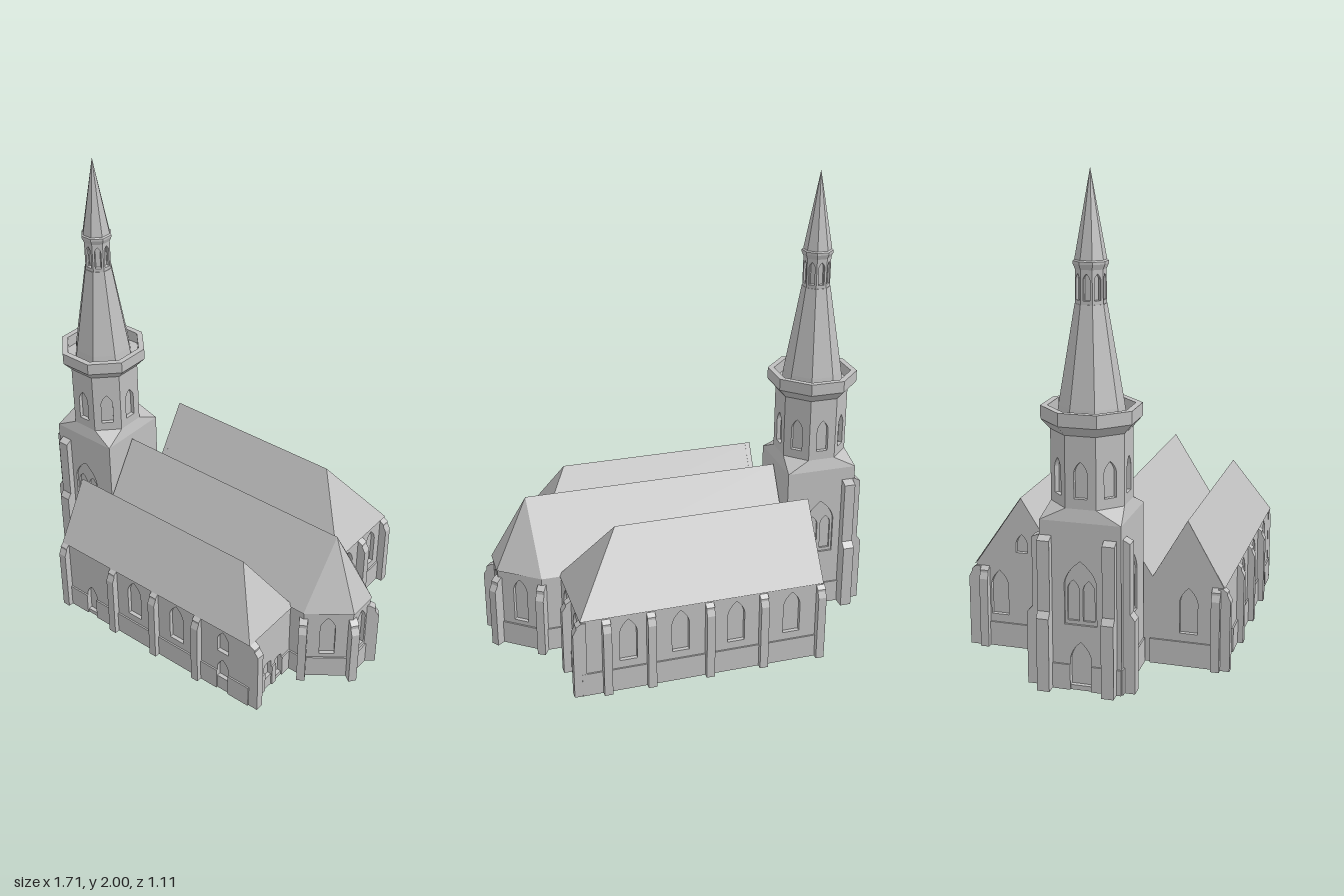
import * as THREE from 'three';
import { ConvexGeometry } from 'three/addons/geometries/ConvexGeometry.js';

const T = 0.018; // wall skin thickness, also the window recess
const C8 = Math.cos(Math.PI / 8);

export function createModel() {
  const root = new THREE.Group();
  root.name = 'church';
  const stone = new THREE.MeshStandardMaterial({ color: 0xc0c0c0, side: THREE.DoubleSide });
  stone.name = 'stone grey';

  const add = (name, geo, parent = root) => {
    const m = new THREE.Mesh(geo, stone);
    m.name = name;
    parent.add(m);
    return m;
  };
  const flat = (geo) => {
    const g = geo.index ? geo.toNonIndexed() : geo;
    g.computeVertexNormals();
    return g;
  };
  const poly = (pts) => new THREE.Shape(pts.map((p) => new THREE.Vector2(p[0], p[1])));
  const slab = (shape, depth) => new THREE.ExtrudeGeometry(shape, { depth, bevelEnabled: false, curveSegments: 5 });

  // pointed-arch outline
  const arch = (u, y0, y1, w, rise = w * 0.8, Kind = THREE.Path) => {
    const p = new Kind(), h = w / 2, s = y1 - rise;
    p.moveTo(u - h, y0);
    p.lineTo(u + h, y0);
    p.lineTo(u + h, s);
    p.quadraticCurveTo(u + h * 0.85, s + rise * 0.55, u, y1);
    p.quadraticCurveTo(u - h * 0.85, s + rise * 0.55, u - h, s);
    p.lineTo(u - h, y0);
    return p;
  };

  // wall from a to b (outside on the right-hand side), with recessed windows
  function wall(name, a, b, y0, y1, wins = [], { gable, plinth } = {}) {
    const g = new THREE.Group();
    g.name = name;
    root.add(g);
    const dx = b[0] - a[0], dz = b[1] - a[1], L = Math.hypot(dx, dz);
    const axis = Math.abs(dx) > Math.abs(dz) ? 0 : 1;
    const toU = (p) => (p === null ? L / 2 : Math.abs(p - a[axis]));
    const u = new THREE.Vector3(dx / L, 0, dz / L), up = new THREE.Vector3(0, 1, 0);
    g.applyMatrix4(new THREE.Matrix4().makeBasis(u, up, u.clone().cross(up)).setPosition(a[0], 0, a[1]));
    const outline = [[0, y0], [L, y0], [L, y1]];
    if (gable) outline.push([toU(gable[0]), gable[1]]);
    outline.push([0, y1]);
    const skin = poly(outline);
    const cuts = [];
    for (const { at = null, y, w, rise, twin } of wins) {
      const c = toU(at);
      skin.holes.push(arch(c, y[0], y[1], w, rise));
      if (y[0] < 0.1) cuts.push([c - w / 2, c + w / 2]);
      if (twin) { // two-light tracery inside the recess
        const t = arch(c, y[0], y[1], w, rise, THREE.Shape);
        for (const s of [-1, 1]) t.holes.push(arch(c + s * w * 0.24, y[0] + 0.015, y[0] + 0.18, w * 0.36, 0.035));
        add('tracery', slab(t, T / 2), g).position.z = -T;
      }
    }
    add('wallSkin', slab(skin, T), g).position.z = -T;
    add('windowBacking', new THREE.ShapeGeometry(poly(outline)), g).position.z = -T;
    if (plinth) { // base course, broken by low openings
      let from = 0;
      for (const [s, e] of [...cuts.sort((p, q) => p[0] - q[0]), [L, L]]) {
        const box = new THREE.BoxGeometry(s - from, 0.105, 0.007);
        box.translate((s + from) / 2, 0.0525, 0.0035);
        add('plinth', box, g);
        from = e;
      }
    }
  }

  // stepped buttress with weathered top, pointing along (dx, dz)
  function buttress(x, z, dx, dz, { h = 0.35, d = 0.03, w = 0.036, step = 0.3 } = {}) {
    const p = poly([[-0.02, 0], [d, 0], [d, step], [d * 0.6, step + 0.025], [d * 0.6, h - 0.015], [0, h], [-0.02, h]]);
    const geo = slab(p, w).translate(0, 0, -w / 2);
    const m = add('buttress', geo);
    m.position.set(x, 0, z);
    m.rotation.y = Math.atan2(-dz, dx);
  }

  // roof from triangles or quads
  function roof(name, faces) {
    const v = [];
    for (const f of faces) for (let i = 1; i < f.length - 1; i++) v.push(...f[0], ...f[i], ...f[i + 1]);
    const geo = new THREE.BufferGeometry();
    geo.setAttribute('position', new THREE.Float32BufferAttribute(v, 3));
    add(name, flat(geo));
  }
  function hipRoof(name, x0, x1, z0, z1, e, rz, ry, rx) {
    const A = [x0, e, z1], B = [x1, e, z1], C = [x1, e, z0], D = [x0, e, z0];
    const W = [x0, ry, rz], E = [rx, ry, rz];
    roof(name, [[A, B, E, W], [B, C, E], [C, D, W, E]]);
  }
  const floor = (name, pts) => {
    const geo = slab(poly(pts.map(([x, z]) => [x, -z])), 0.02).rotateX(-Math.PI / 2);
    add(name, geo);
  };
  const rect = (x0, x1, z0, z1) => [[x0, z1], [x1, z1], [x1, z0], [x0, z0]];
  const base = { plinth: true };
  const tall = (at) => ({ at, y: [0.14, 0.335], w: 0.075 });

  // front aisle
  const F = { x0: -0.485, x1: 0.57, z0: 0.22, z1: 0.522 };
  wall('frontAisleWall', [F.x0, F.z1], [F.x1, F.z1], 0, 0.355, [
    tall(-0.067), tall(0.175),
    { at: -0.33, y: [0.02, 0.165], w: 0.055 },
    { at: 0.43, y: [0.22, 0.335], w: 0.06 },
    { at: 0.43, y: [0.07, 0.175], w: 0.06 },
  ], base);
  wall('frontAisleEastWall', [F.x1, F.z1], [F.x1, F.z0], 0, 0.355, [
    { at: 0.46, y: [0.06, 0.148], w: 0.05, rise: 0.01 },
    { at: 0.39, y: [0.06, 0.148], w: 0.05, rise: 0.01 },
    { at: 0.315, y: [0.02, 0.13], w: 0.045, rise: 0.01 },
  ], base);
  wall('frontAisleWestGable', [F.x0, F.z0], [F.x0, F.z1], 0, 0.355, [tall(0.38)], { gable: [0.373, 0.62], plinth: true });
  hipRoof('frontAisleRoof', F.x0 - 0.005, F.x1 + 0.005, F.z0, F.z1 + 0.006, 0.352, 0.375, 0.622, 0.42);
  floor('frontAisleFloor', rect(F.x0, F.x1, F.z0, F.z1));
  for (const x of [-0.475, -0.185, 0.055, 0.295]) buttress(x, F.z1, 0, 1);
  buttress(F.x0, 0.495, -1, 0);
  buttress(F.x1, 0.505, 1, 0, { d: 0.045 });

  // back aisle
  const B = { x0: -0.5, x1: 0.555, z0: -0.527, z1: -0.135 };
  wall('backAisleWall', [B.x1, B.z0], [B.x0, B.z0], 0, 0.36, [-0.365, -0.115, 0.13, 0.355].map(tall), base);
  wall('backAisleEastWall', [B.x1, B.z1], [B.x1, B.z0], 0, 0.36, [tall(-0.235), tall(-0.42)], base);
  wall('backAisleWestGable', [B.x0, B.z0], [B.x0, B.z1], 0, 0.36, [
    tall(-0.425), tall(-0.24), { at: -0.325, y: [0.42, 0.5], w: 0.05 },
  ], { gable: [-0.325, 0.658], plinth: true });
  hipRoof('backAisleRoof', B.x0 - 0.005, B.x1 + 0.005, B.z0 - 0.005, B.z1, 0.358, -0.325, 0.66, 0.355);
  floor('backAisleFloor', rect(B.x0, B.x1, B.z0, B.z1));
  for (const x of [-0.493, -0.235, 0.005, 0.26, 0.45]) buttress(x, B.z0, 0, -1);
  buttress(B.x0, -0.487, -1, 0);
  buttress(B.x1, -0.515, 1, 0, { d: 0.035 });
  buttress(B.x1, -0.33, 1, 0, { d: 0.04 });

  // nave with polygonal apse
  const ring = [[-0.48, 0.235], [0.64, 0.235], [0.808, 0.108], [0.808, -0.022], [0.64, -0.15], [-0.48, -0.15]];
  for (let i = 1; i < 4; i++) wall('apseWall', ring[i], ring[i + 1], 0, 0.36, [{ y: [0.125, 0.33], w: 0.065 }], base);
  wall('apseSideWall', [0.54, 0.235], ring[1], 0, 0.36, [], base);
  wall('apseSideWall', ring[4], [0.54, -0.15], 0, 0.36, [], base);
  wall('naveWestGable', ring[5], ring[0], 0, 0.36, [], { gable: [0.042, 0.658] });
  floor('naveFloor', ring);
  const P = [0.66, 0.66, 0.042], Q = [-0.485, 0.66, 0.042];
  const eave = ring.map(([x, z]) => [x > 0.8 ? x + 0.005 : x, 0.358, z + Math.sign(z - 0.042) * 0.004]);
  roof('naveRoof', [
    [eave[0], eave[1], P, Q], [eave[1], eave[2], P], [eave[2], eave[3], P], [eave[3], eave[4], P], [eave[4], eave[5], Q, P],
  ]);
  for (const i of [1, 2, 3, 4]) {
    const s = i < 3 ? 1 : -1, outer = i === 2 || i === 3;
    buttress(ring[i][0], ring[i][1], outer ? 0.8 : 0.5, s * (outer ? 0.6 : 0.86), { h: 0.325, d: 0.04, step: 0.27 });
  }

  // tower base
  const tx = -0.65, tz = 0.03, hx = 0.16, hz = 0.163;
  const tc = [[tx - hx, tz + hz], [tx + hx, tz + hz], [tx + hx, tz - hz], [tx - hx, tz - hz]];
  const twin = { y: [0.27, 0.53], w: 0.13, rise: 0.09, twin: true };
  const sides = [[twin], [], [twin], [twin, { y: [0.02, 0.2], w: 0.085 }]];
  tc.forEach((p, i) => wall('towerWall', p, tc[(i + 1) % 4], 0, 0.67, sides[i], { plinth: i !== 1 }));
  floor('towerFloor', tc);
  const tb = { h: 0.625, d: 0.048, w: 0.05, step: 0.3 };
  buttress(tx - hx, -0.11, -1, 0, tb);
  buttress(tx - hx, 0.15, -1, 0, tb);
  buttress(-0.775, tz - hz, 0, -1, { ...tb, d: 0.06 });
  buttress(-0.762, tz + hz, 0, 1, tb);

  // octagonal upper stages
  const oct = (ap) => Array.from({ length: 8 }, (_, i) => {
    const t = Math.PI / 8 + (i * Math.PI) / 4;
    return [tx + (ap / C8) * Math.sin(t), tz + (ap / C8) * Math.cos(t)];
  });
  const octStage = (name, ap, y0, y1, win) => {
    const c = oct(ap);
    c.forEach((p, i) => wall(name, p, c[(i + 1) % 8], y0, y1, [win]));
  };
  const lathe = (name, pts) => {
    const profile = pts.map(([r, y]) => new THREE.Vector2(r / C8, y));
    add(name, flat(new THREE.LatheGeometry(profile, 8, Math.PI / 8))).position.set(tx, 0, tz);
  };
  const corners = (pts, y) => pts.map(([x, z]) => new THREE.Vector3(x, y, z));
  add('towerBroach', new ConvexGeometry([...corners(tc, 0.67), ...corners(tc, 0.685), ...corners(oct(0.148), 0.735)]));
  octStage('belfryWall', 0.148, 0.73, 1.03, { y: [0.775, 0.92], w: 0.052 });
  lathe('gallery', [[0.148, 1.02], [0.182, 1.06], [0.182, 1.112], [0.157, 1.112], [0.157, 1.06], [0.1, 1.06]]);
  lathe('lowerSpire', [[0.124, 1.06], [0.118, 1.112], [0.057, 1.5], [0.03, 1.5]]);
  octStage('lanternWall', 0.055, 1.495, 1.64, { y: [1.515, 1.615], w: 0.027 });
  lathe('lanternCornice', [[0.055, 1.63], [0.063, 1.65], [0.063, 1.66], [0.057, 1.665]]);
  lathe('upperSpire', [[0.057, 1.665], [0.0005, 2.0]]);

  return root;
}
